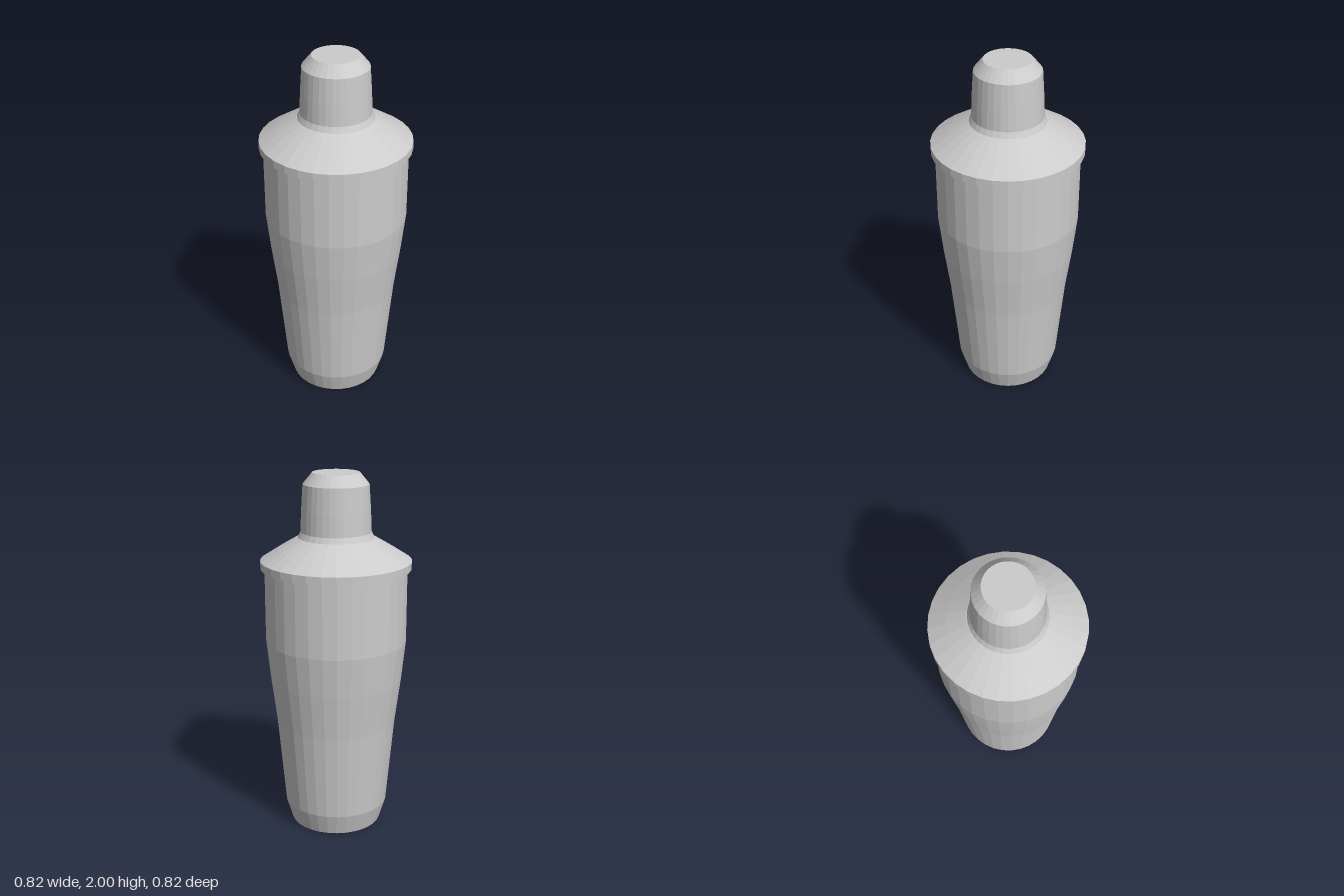
import * as THREE from 'three';

const SIDES = 32;

// Faceted turned part from [radius, height] pairs, listed bottom to top
function turned(name, profile) {
  const points = profile.map(([r, y]) => new THREE.Vector2(r, y));
  const material = new THREE.MeshStandardMaterial({ color: 0xcccccc, flatShading: true });
  const mesh = new THREE.Mesh(new THREE.LatheGeometry(points, SIDES), material);
  mesh.name = name;
  return mesh;
}

export function createModel() {
  const shaker = new THREE.Group();
  shaker.name = 'cocktailShaker';

  // Tapered cup with a bevelled foot, closed at the top inside the lid
  shaker.add(turned('cup', [
    [0, 0], [0.255, 0], [0.291, 0.12], [0.335, 0.61], [0.367, 0.86],
    [0.39, 1.08], [0.39, 1.5], [0, 1.5],
  ]));

  // Lid: overhanging rim band and domed shoulder
  shaker.add(turned('lid', [
    [0, 1.487], [0.412, 1.487], [0.412, 1.53], [0.315, 1.592],
    [0.208, 1.655], [0, 1.655],
  ]));

  // Cap: flared base, slightly tapered wall and bevelled flat top
  shaker.add(turned('cap', [
    [0, 1.65], [0.206, 1.655], [0.192, 1.685], [0.187, 1.8],
    [0.178, 1.94], [0.128, 2], [0, 2],
  ]));

  return shaker;
}
